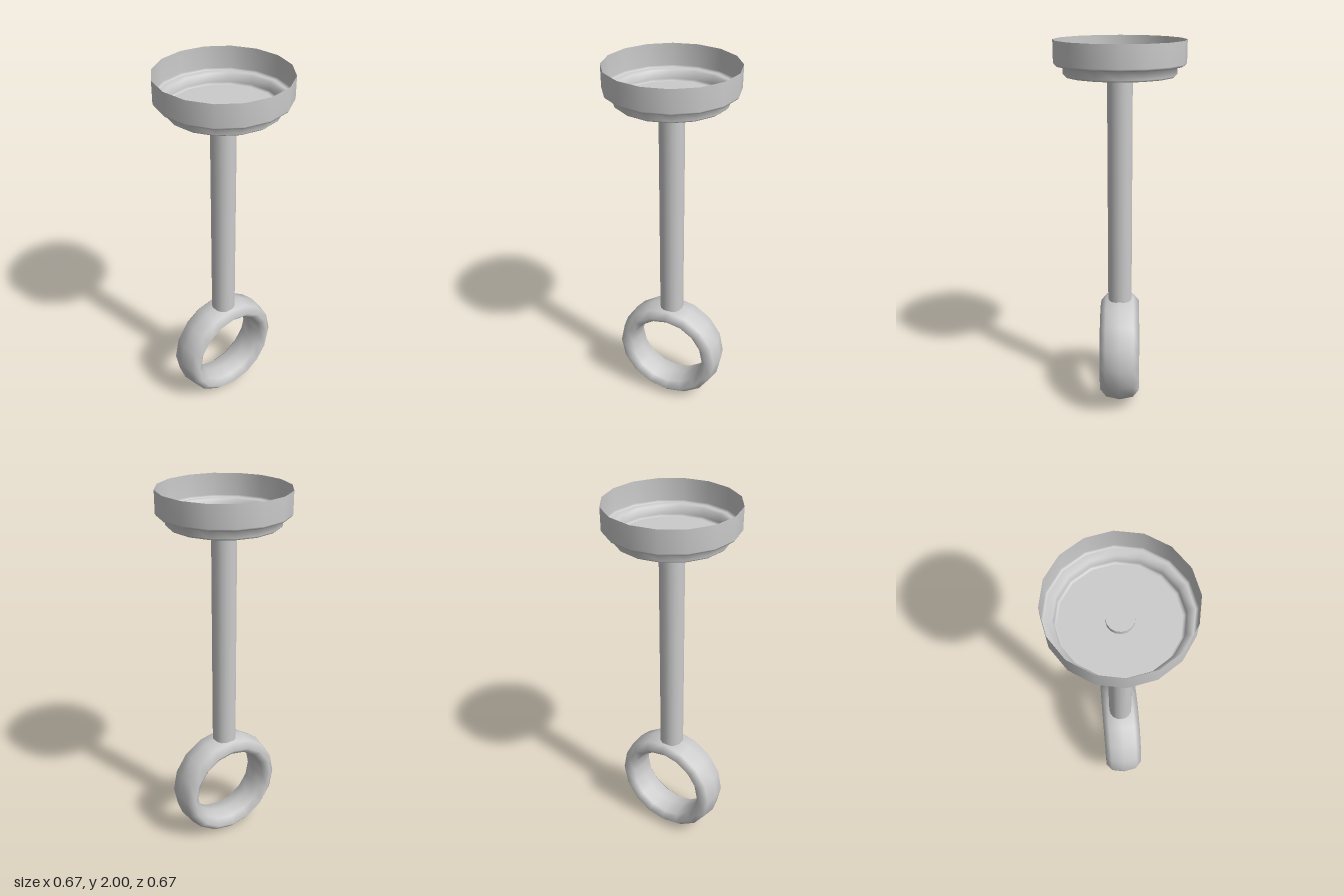
import * as THREE from 'three';

const SIDES = 16;

export function createModel() {
  const model = new THREE.Group();
  const material = new THREE.MeshStandardMaterial({ color: 0xcccccc });
  const shellMaterial = new THREE.MeshStandardMaterial({ color: 0xcccccc, side: THREE.DoubleSide });

  const add = (name, geometry, mat = material) => {
    const mesh = new THREE.Mesh(geometry, mat);
    mesh.name = name;
    model.add(mesh);
    return mesh;
  };

  // Ceiling cup: thin stepped shell, open at the top, with small rounded edges
  const profile = [
    [0, 1.822], [0.272, 1.822], [0.28, 1.823], [0.288, 1.832], [0.288, 1.876],
    [0.322, 1.876], [0.33, 1.879], [0.335, 1.888], [0.335, 2],
  ].map(([r, y]) => new THREE.Vector2(r, y));
  add('ceilingCup', new THREE.LatheGeometry(profile, SIDES), shellMaterial);

  // Rod: its top end pokes slightly through the cup floor, its foot sinks into the ring
  const rodTop = 1.845, rodFoot = 0.57;
  const rod = add('rod', new THREE.CylinderGeometry(0.065, 0.065, rodTop - rodFoot, SIDES));
  rod.position.y = (rodTop + rodFoot) / 2;

  // Ring: a torus widened along its axis, which points along x
  const ringRadius = 0.256, tube = 0.052, halfWidth = 0.107;
  const ringGeometry = new THREE.TorusGeometry(ringRadius, tube, 8, SIDES);
  ringGeometry.scale(1, 1, halfWidth / tube);
  ringGeometry.rotateY(Math.PI / 2);
  add('ring', ringGeometry).position.y = ringRadius + tube;

  return model;
}
